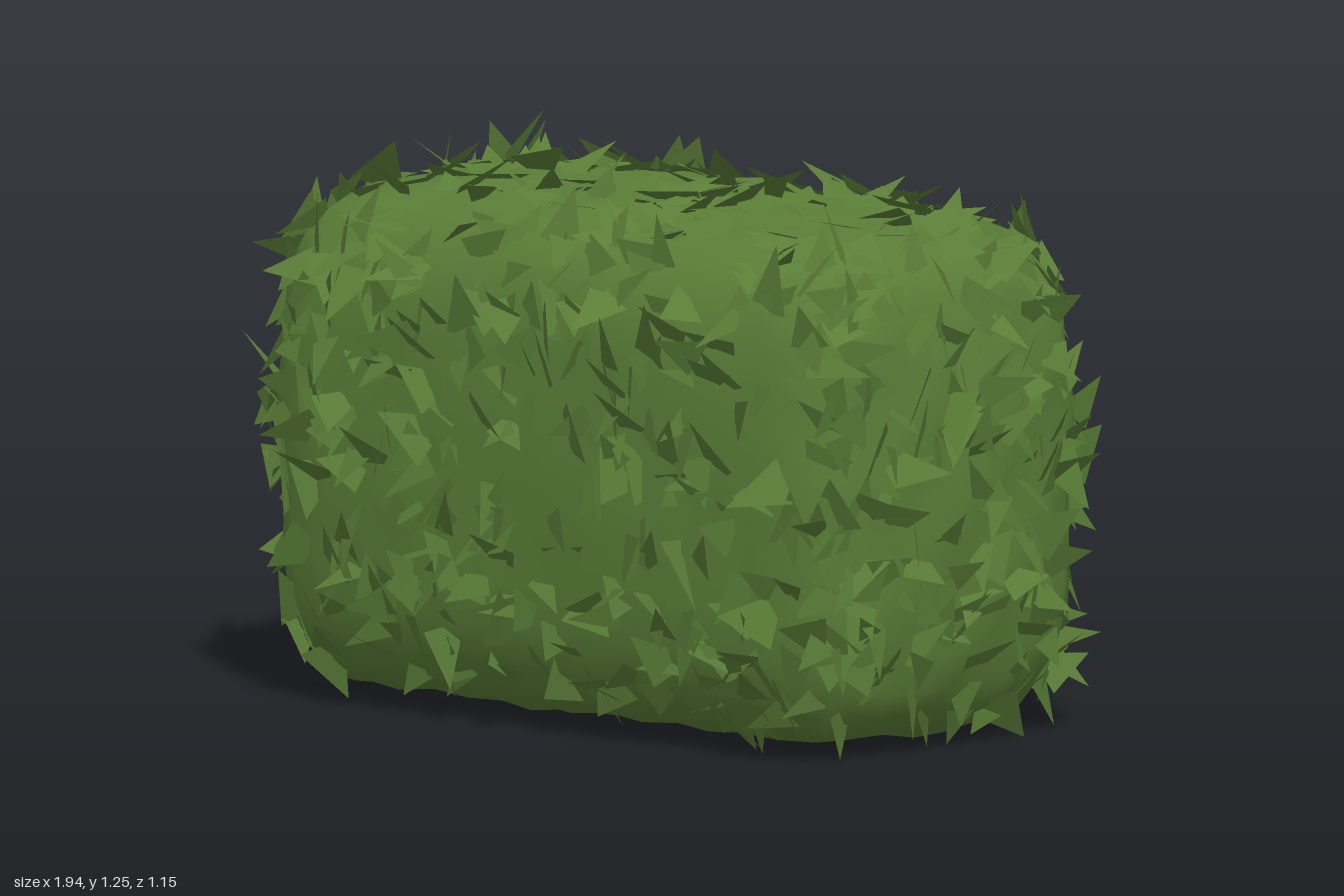
import * as THREE from 'three';
import { mergeVertices } from 'three/addons/utils/BufferGeometryUtils.js';

const HALF = new THREE.Vector3(0.895, 0.575, 0.485); // half size of the clipped hedge
const ROUND = new THREE.Vector3(0.15, 0.23, 0.19); // rounding along each axis
const CENTRE_Y = 0.6;
const BULGE = 0.037; // how far each side sinks towards its edges

// Small seeded random generator
function seeded(seed) {
  return () => {
    seed = (seed * 1664525 + 1013904223) >>> 0;
    return seed / 4294967296;
  };
}

// Gentle unevenness of the foliage
function bump(p) {
  return 0.008 * Math.sin(p.x * 9 + p.y * 5) * Math.cos(p.z * 11 - p.y * 7) +
    0.007 * Math.sin(p.x * 23 + p.z * 17 + p.y * 19);
}

// Pulls a point of the box onto the rounded, bulging hedge; returns its outward normal
function roundOff(p) {
  const limit = HALF.clone().sub(ROUND);
  const inner = p.clone().clamp(limit.clone().negate(), limit);
  const n = p.clone().sub(inner).divide(ROUND).normalize();
  p.copy(inner).add(n.clone().multiply(ROUND));
  n.divide(ROUND).normalize();
  p.addScaledVector(n, bump(p));

  // Sides and top are fullest in the middle, the underside stays flat
  const u = p.clone().divide(HALF);
  u.multiply(u);
  p.x *= 1 - BULGE * (u.y + u.z) / HALF.x;
  p.z *= 1 - BULGE * (u.x + u.y) / HALF.z;
  if (p.y > 0) p.y *= 1 - BULGE * (u.x + u.z) / HALF.y;
  n.addScaledVector(p, 0.12).normalize();
  p.y += CENTRE_Y;
  return n;
}

// Rounded body under the leaves
function bodyGeometry() {
  const box = new THREE.BoxGeometry(HALF.x * 2, HALF.y * 2, HALF.z * 2, 16, 11, 9);
  box.deleteAttribute('uv');
  box.deleteAttribute('normal');
  const geo = mergeVertices(box);
  const pos = geo.attributes.position;
  const p = new THREE.Vector3();
  for (let i = 0; i < pos.count; i++) {
    p.fromBufferAttribute(pos, i);
    roundOff(p);
    pos.setXYZ(i, p.x, p.y, p.z);
  }
  geo.computeVertexNormals();
  return geo;
}

// Pointed leaves scattered over every side except the underside
function leafGeometry(count) {
  const rand = seeded(71);
  const spread = (a) => (rand() * 2 - 1) * a;
  const areas = [HALF.y * HALF.z, HALF.x * HALF.z / 2, HALF.x * HALF.y];
  const total = areas[0] + areas[1] + areas[2];
  const points = [];
  const axes = ['x', 'y', 'z'];
  for (let i = 0; i < count; i++) {
    // Choose a side by area and a place on it
    const pick = rand() * total;
    const axis = pick < areas[0] ? 0 : pick < areas[0] + areas[1] ? 1 : 2;
    const p = new THREE.Vector3(spread(HALF.x), spread(HALF.y), spread(HALF.z));
    p[axes[axis]] = HALF[axes[axis]] * (axis === 1 || rand() < 0.5 ? 1 : -1);
    const n = roundOff(p);

    // Leaf direction lies along the surface and lifts outwards
    const along = new THREE.Vector3(spread(1), spread(1), spread(1)).cross(n).normalize();
    const side = n.clone().cross(along);
    const lift = 0.08 + rand() * rand() * 0.8;
    const length = 0.08 + rand() * 0.08;
    const width = 0.03 + rand() * 0.04;
    p.addScaledVector(n, -0.006);
    const tip = p.clone().addScaledVector(along, length * Math.cos(lift))
      .addScaledVector(n, length * Math.sin(lift));
    const roll = spread(0.7);
    side.multiplyScalar(Math.cos(roll)).addScaledVector(n, Math.sin(roll));
    const a = p.clone().addScaledVector(side, width);
    const b = p.clone().addScaledVector(side, -width);
    for (const v of [a, tip, b]) v.y = Math.max(v.y, 0.005);

    // Order the corners so that the leaf faces outwards
    const face = tip.clone().sub(a).cross(b.clone().sub(a));
    points.push(...(face.dot(n) < 0 ? [b, tip, a] : [a, tip, b]));
  }
  const geo = new THREE.BufferGeometry().setFromPoints(points);
  geo.computeVertexNormals();
  return geo;
}

export function createModel() {
  const hedgeGreen = new THREE.MeshStandardMaterial({ color: 0x5a7d37, side: THREE.DoubleSide });
  hedgeGreen.name = 'hedge green';

  const hedge = new THREE.Group();
  hedge.name = 'hedge';
  const body = new THREE.Mesh(bodyGeometry(), hedgeGreen);
  body.name = 'hedgeBody';
  const leaves = new THREE.Mesh(leafGeometry(1250), hedgeGreen);
  leaves.name = 'leaves';
  hedge.add(body, leaves);
  return hedge;
}
